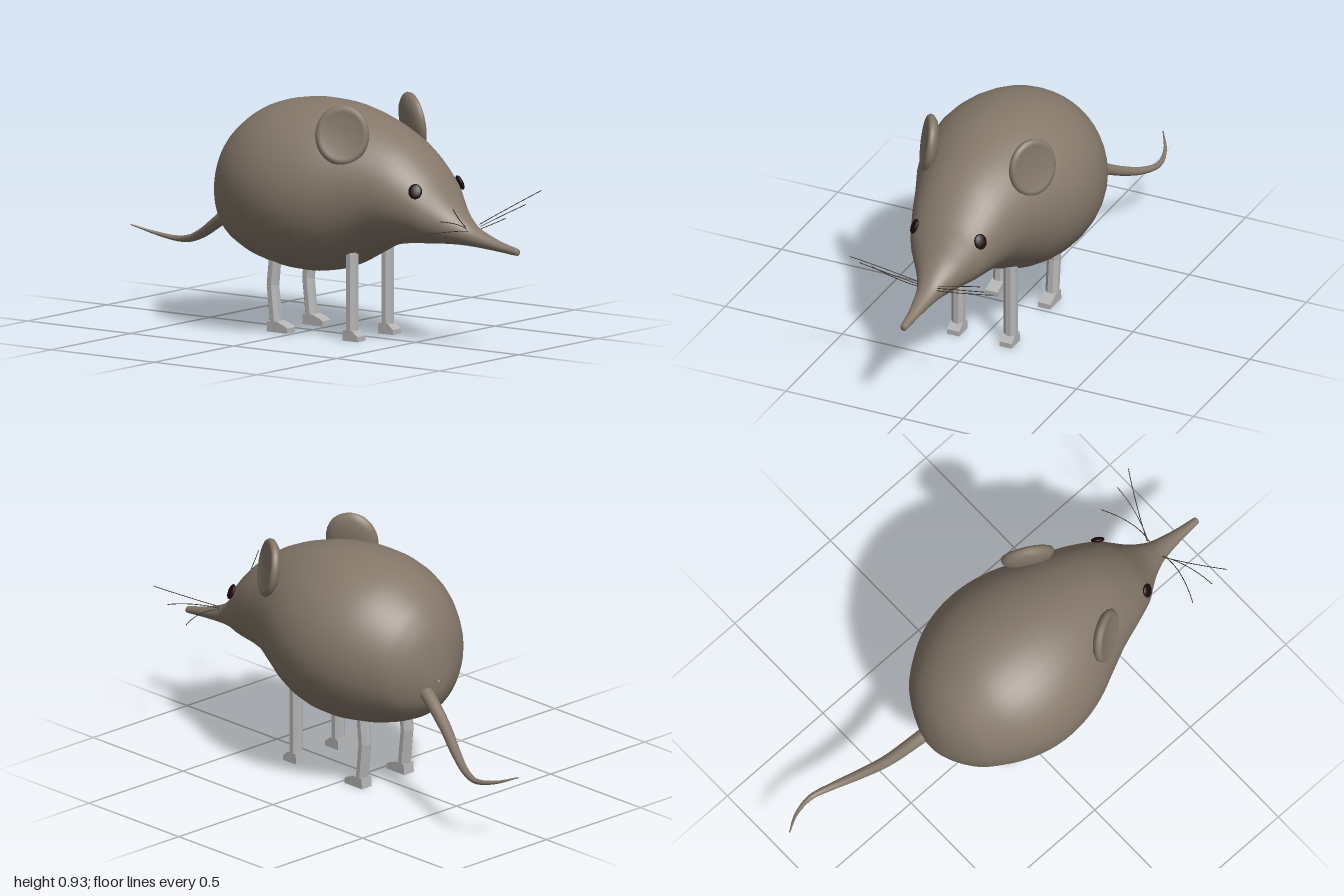
import * as THREE from 'three';

export function createModel() {
  const fur = new THREE.MeshStandardMaterial({ color: 0x85786a });
  const legGrey = new THREE.MeshStandardMaterial({ color: 0xb4b4b4, flatShading: true });
  const eyeDark = new THREE.MeshStandardMaterial({ color: 0x1e0a0a });
  const whiskerDark = new THREE.MeshStandardMaterial({ color: 0x3a322b });
  fur.name = 'fur';
  legGrey.name = 'legGrey';
  eyeDark.name = 'eyeDark';
  whiskerDark.name = 'whiskerDark';

  const model = new THREE.Group();
  model.name = 'shrew';
  const V = (x, y, z) => new THREE.Vector3(x, y, z);
  const add = (name, geometry, material) => {
    const mesh = new THREE.Mesh(geometry, material);
    mesh.name = name;
    model.add(mesh);
    return mesh;
  };

  // Body, head and snout: smooth loft of [x, top, bottom, half width]
  const stations = [
    [-0.402, 0.49, 0.485, 0.002], [-0.397, 0.56, 0.435, 0.055], [-0.38, 0.65, 0.39, 0.105],
    [-0.35, 0.72, 0.35, 0.165], [-0.3, 0.785, 0.312, 0.228], [-0.2, 0.857, 0.272, 0.297],
    [-0.1, 0.893, 0.25, 0.338], [0, 0.908, 0.239, 0.355], [0.1, 0.908, 0.243, 0.35],
    [0.2, 0.895, 0.268, 0.325], [0.3, 0.868, 0.318, 0.283], [0.4, 0.83, 0.368, 0.24],
    [0.5, 0.773, 0.388, 0.203], [0.6, 0.683, 0.396, 0.16], [0.65, 0.62, 0.4, 0.125],
    [0.7, 0.555, 0.402, 0.088], [0.75, 0.508, 0.402, 0.06], [0.8, 0.473, 0.4, 0.042],
    [0.9, 0.435, 0.393, 0.024], [0.985, 0.414, 0.385, 0.015], [0.996, 0.41, 0.387, 0.011],
    [1, 0.4, 0.398, 0.001],
  ];
  const outline = new THREE.CatmullRomCurve3(stations.map(s => V(s[0], s[1], s[2])), false, 'catmullrom');
  const widths = new THREE.CatmullRomCurve3(stations.map(s => V(s[3], 0, 0)), false, 'catmullrom');
  const rows = 84, sides = 40, positions = [], index = [];
  for (let i = 0; i <= rows; i++) {
    const p = outline.getPoint(i / rows), w = widths.getPoint(i / rows).x;
    for (let j = 0; j < sides; j++) {
      const a = (j / sides) * Math.PI * 2;
      positions.push(p.x, (p.y + p.z) / 2 + ((p.y - p.z) / 2) * Math.cos(a), w * Math.sin(a));
      if (i < rows) {
        const k = (j + 1) % sides, r = i * sides, n = r + sides;
        index.push(r + j, r + k, n + j, r + k, n + k, n + j);
      }
    }
  }
  const bodyGeometry = new THREE.BufferGeometry();
  bodyGeometry.setAttribute('position', new THREE.Float32BufferAttribute(positions, 3));
  bodyGeometry.setIndex(index);
  bodyGeometry.computeVertexNormals();
  add('body', bodyGeometry, fur);

  // Tail: tube whose rings shrink towards the tip
  const tailCurve = new THREE.CatmullRomCurve3([
    V(-0.35, 0.465, -0.045), V(-0.42, 0.43, -0.06), V(-0.54, 0.355, -0.095), V(-0.64, 0.3, -0.14),
    V(-0.74, 0.262, -0.185), V(-0.83, 0.25, -0.212), V(-0.92, 0.265, -0.195), V(-1, 0.295, -0.148),
  ]);
  const tailRows = 48, tailSides = 14;
  const tailGeometry = new THREE.TubeGeometry(tailCurve, tailRows, 0.028, tailSides);
  const tp = tailGeometry.attributes.position, q = V(0, 0, 0);
  for (let i = 0; i < tp.count; i++) {
    const t = Math.floor(i / (tailSides + 1)) / tailRows;
    const c = tailCurve.getPointAt(t);
    q.fromBufferAttribute(tp, i).sub(c).multiplyScalar(1 - 0.92 * Math.pow(t, 1.4)).add(c);
    tp.setXYZ(i, q.x, q.y, q.z);
  }
  tailGeometry.computeVertexNormals();
  add('tail', tailGeometry, fur);

  // Turns a mesh so its local y axis follows a normal
  const face = (mesh, normal) => {
    const n = normal.normalize();
    const u = n.clone().cross(V(0, 1, 0)).normalize();
    mesh.quaternion.setFromRotationMatrix(new THREE.Matrix4().makeBasis(u, n, u.clone().cross(n)));
  };

  // Leg: octagonal column whose rows follow a path of [x, y]
  const leg = (name, path, z, toe) => {
    const n = path.length - 1;
    const column = new THREE.CylinderGeometry(1, 1, 1, 8, n, false, Math.PI / 8);
    const p = column.attributes.position;
    for (let i = 0; i < p.count; i++) {
      const [x, y] = path[Math.round((0.5 - p.getY(i)) * n)];
      p.setXYZ(i, x + p.getX(i) * 0.0245, y, z + p.getZ(i) * 0.0275);
    }
    add(name, column, legGrey);
    const side = new THREE.Shape([
      [-0.028, 0], [toe, 0], [toe, 0.02], [toe - 0.012, 0.028], [0.02, 0.042], [-0.025, 0.042],
    ].map(([x, y]) => new THREE.Vector2(x, y)));
    const foot = add(name + 'Foot', new THREE.ExtrudeGeometry(side, { depth: 0.052, bevelEnabled: false }), legGrey);
    foot.position.set(path[n][0], 0, z - 0.026);
  };

  // Ear profile: domed back, rounded rim, dished front
  const earProfile = [
    [0, -0.03], [0.05, -0.027], [0.085, -0.018], [0.102, -0.004], [0.105, 0.008], [0.1, 0.018],
    [0.09, 0.022], [0.083, 0.019], [0.05, 0.014], [0, 0.012],
  ].map(([r, y]) => new THREE.Vector2(r, y));

  for (const s of [1, -1]) {
    const side = s > 0 ? 'right' : 'left';

    const ear = add(side + 'Ear', new THREE.LatheGeometry(earProfile, 36), fur);
    ear.position.set(0.312, 0.815, 0.218 * s);
    face(ear, V(0.5, 0.16, 0.86 * s));
    ear.scale.set(1, 1, 1.1);

    const eye = add(side + 'Eye', new THREE.SphereGeometry(0.028, 20, 14), eyeDark);
    eye.position.set(0.606, 0.615, 0.141 * s);
    face(eye, V(0.5, 0.4, 0.77 * s));
    eye.scale.set(0.95, 0.4, 1.1);

    leg(side + 'FrontLeg', [[0.277, 0.4], [0.277, 0.02]], 0.112 * s, 0.046);
    leg(side + 'HindLeg', [[-0.098, 0.33], [-0.098, 0.27], [-0.107, 0.18], [-0.09, 0.02]], 0.112 * s, 0.07);

    // Whiskers: start, bend and tip of each hair
    [
      [V(0.775, 0.48, 0.042), V(0.82, 0.53, 0.15), V(0.895, 0.595, 0.28)],
      [V(0.78, 0.473, 0.042), V(0.825, 0.515, 0.15), V(0.827, 0.535, 0.27)],
      [V(0.785, 0.465, 0.04), V(0.8, 0.482, 0.13), V(0.735, 0.473, 0.26)],
    ].forEach((points, i) => {
      points.forEach(p => { p.z *= s; });
      const hair = new THREE.QuadraticBezierCurve3(...points);
      add(side + 'Whisker' + (i + 1), new THREE.TubeGeometry(hair, 14, 0.0016, 5), whiskerDark);
    });
  }
  return model;
}
